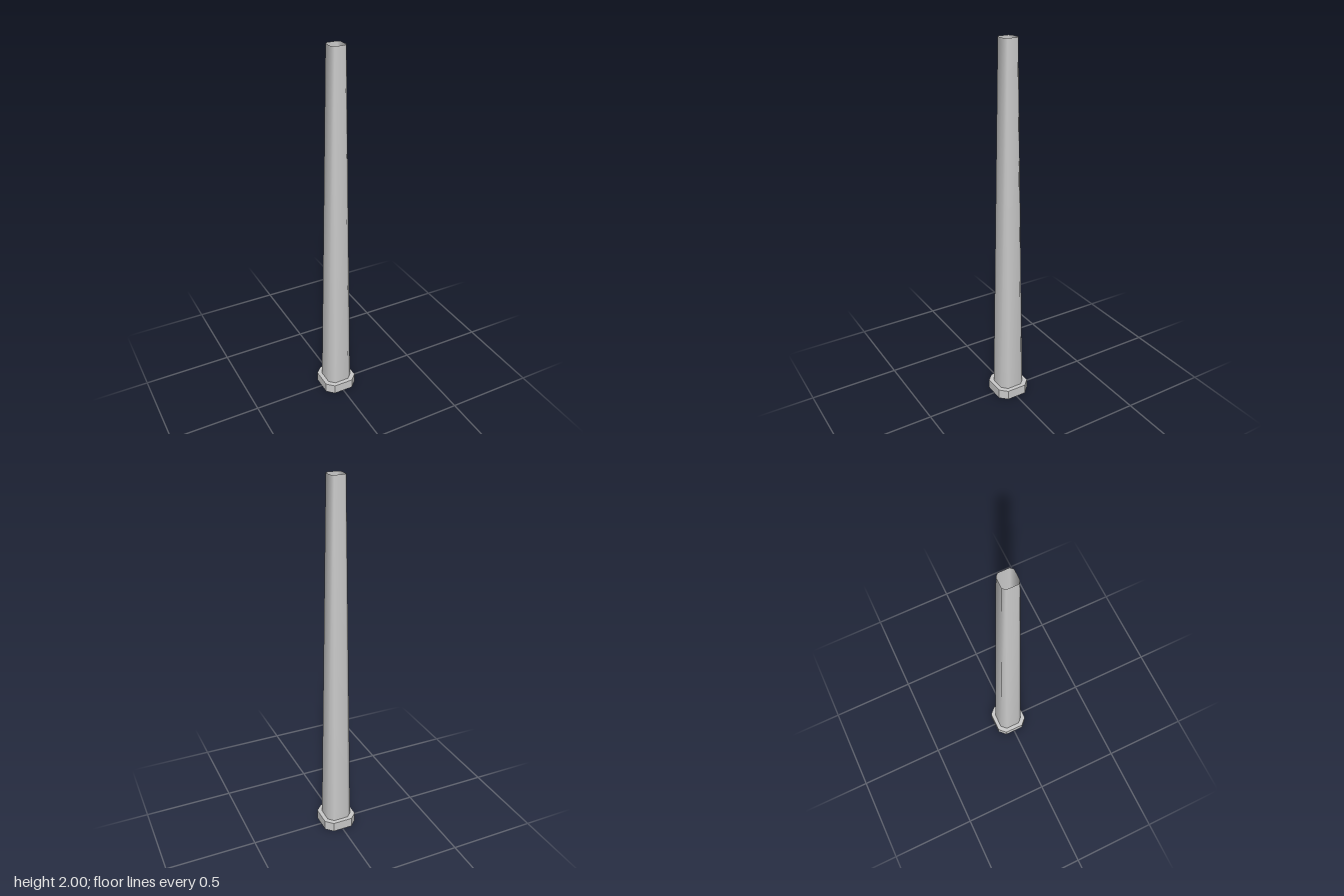
import * as THREE from 'three';

// Corners of a square with cut corners: h = half width, f = half length of each flat side
function octagon(h, f) {
  return [[h, f], [f, h], [-f, h], [-h, f], [-h, -f], [-f, -h], [f, -h], [h, -f]];
}

// Tapered open tube between two octagons, smooth around its sides
function taperedTube(lower, y0, upper, y1) {
  const positions = [], index = [], n = lower.length;
  for (let i = 0; i < n; i++) {
    positions.push(lower[i][0], y0, lower[i][1], upper[i][0], y1, upper[i][1]);
    const a = 2 * i, b = 2 * ((i + 1) % n);
    index.push(a, a + 1, b, b, a + 1, b + 1);
  }
  const geometry = new THREE.BufferGeometry();
  geometry.setAttribute('position', new THREE.Float32BufferAttribute(positions, 3));
  geometry.setIndex(index);
  geometry.computeVertexNormals();
  return geometry;
}

export function createModel() {
  const group = new THREE.Group();
  group.name = 'post';
  const baseHeight = 0.055;

  // Solid foot plate with crisp edges
  const outline = new THREE.Shape(octagon(0.094, 0.056).map(([x, y]) => new THREE.Vector2(x, y)));
  const footGeometry = new THREE.ExtrudeGeometry(outline, { depth: baseHeight, bevelEnabled: false });
  footGeometry.rotateX(-Math.PI / 2);
  const foot = new THREE.Mesh(footGeometry, new THREE.MeshStandardMaterial({ color: 0xcccccc }));
  foot.name = 'foot';

  // Hollow tapering shaft, open at the top
  const shaft = new THREE.Mesh(
    taperedTube(octagon(0.071, 0.042), baseHeight, octagon(0.04, 0.027), 2),
    new THREE.MeshStandardMaterial({ color: 0xcccccc, side: THREE.DoubleSide })
  );
  shaft.name = 'shaft';

  group.add(foot, shaft);
  return group;
}
